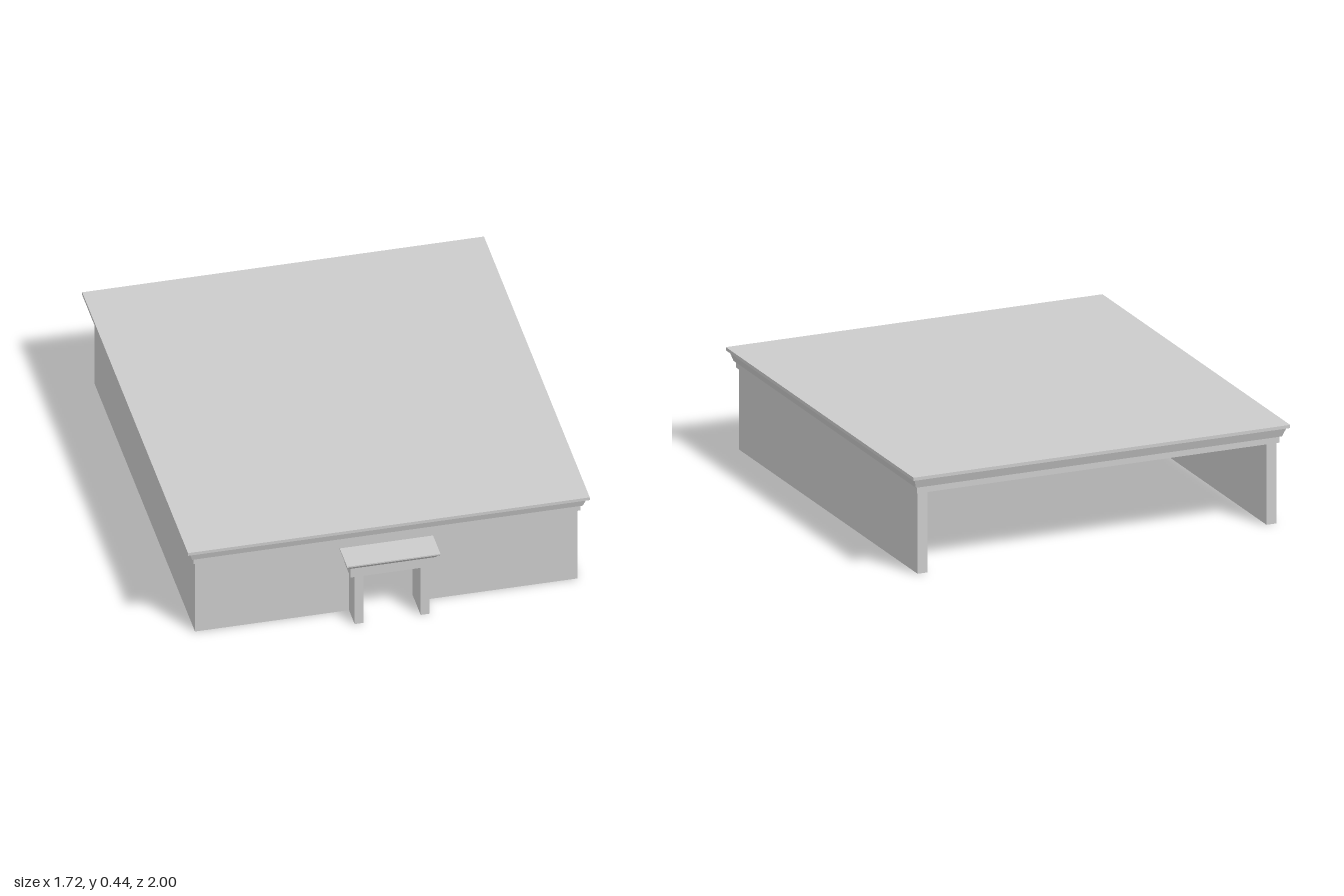
import * as THREE from 'three';

const material = new THREE.MeshStandardMaterial({ color: 0xcccccc, flatShading: true });

function add(group, name, geometry) {
  const mesh = new THREE.Mesh(geometry, material);
  mesh.name = name;
  group.add(mesh);
  return mesh;
}

// Box given by its min and max corners
function block(x0, x1, y0, y1, z0, z1) {
  return new THREE.BoxGeometry(x1 - x0, y1 - y0, z1 - z0)
    .translate((x0 + x1) / 2, (y0 + y1) / 2, (z0 + z1) / 2);
}

// Closed moulding through rectangular rings, each [y, halfWidth, zFront, zBack]
function moulding(rings) {
  const corners = rings.map(([y, w, f, b]) => [[-w, y, f], [w, y, f], [w, y, b], [-w, y, b]]);
  const pos = [];
  const quad = (a, b, c, d) => pos.push(...a, ...b, ...c, ...a, ...c, ...d);
  for (let r = 0; r < corners.length - 1; r++) {
    for (let i = 0; i < 4; i++) {
      const j = (i + 1) % 4;
      quad(corners[r][i], corners[r][j], corners[r + 1][j], corners[r + 1][i]);
    }
  }
  const [p, q, s, t] = corners[0];
  quad(t, s, q, p);
  quad(...corners[corners.length - 1]);
  const geometry = new THREE.BufferGeometry();
  geometry.setAttribute('position', new THREE.Float32BufferAttribute(pos, 3));
  geometry.computeVertexNormals();
  return geometry;
}

export function createModel() {
  const model = new THREE.Group();
  model.name = 'building';

  const wallX = 0.82, front = 0.865, back = -0.95, thick = 0.045, wallTop = 0.358;
  const inner = front - thick;

  // Front wall with the doorway cut up from the ground
  const doorX = 0.143, doorTop = 0.27;
  const outline = new THREE.Shape([
    [-wallX, 0], [-doorX, 0], [-doorX, doorTop], [doorX, doorTop],
    [doorX, 0], [wallX, 0], [wallX, wallTop], [-wallX, wallTop],
  ].map(([x, y]) => new THREE.Vector2(x, y)));
  add(model, 'frontWall',
    new THREE.ExtrudeGeometry(outline, { depth: thick, bevelEnabled: false }).translate(0, 0, inner));

  // Side walls; the back stays open
  add(model, 'leftWall', block(wallX - thick, wallX, 0, wallTop, back, inner));
  add(model, 'rightWall', block(-wallX, thick - wallX, 0, wallTop, back, inner));

  // Roof slab with stepped and sloping cornice
  add(model, 'roofCornice', moulding([
    [wallTop, 0.829, 0.879, -0.964],
    [0.386, 0.829, 0.879, -0.964],
    [0.386, 0.837, 0.886, -0.971],
    [0.428, 0.851, 0.899, -0.986],
    [0.428, 0.861, 0.911, -1],
    [0.442, 0.861, 0.911, -1],
  ]));

  // Door surround running through the wall
  const porch = new THREE.Group();
  porch.name = 'doorSurround';
  model.add(porch);
  const porchBack = inner - 0.002;
  add(porch, 'leftDoorPost', block(0.123, 0.16, 0, 0.25, porchBack, 0.967));
  add(porch, 'rightDoorPost', block(-0.16, -0.123, 0, 0.25, porchBack, 0.967));

  // Lintel flaring out to a thin lip
  add(porch, 'doorHood', moulding([
    [0.25, 0.18, 0.978, porchBack],
    [0.295, 0.18, 0.978, porchBack],
    [0.318, 0.2, 1, porchBack],
    [0.324, 0.2, 1, porchBack],
  ]));

  return model;
}
